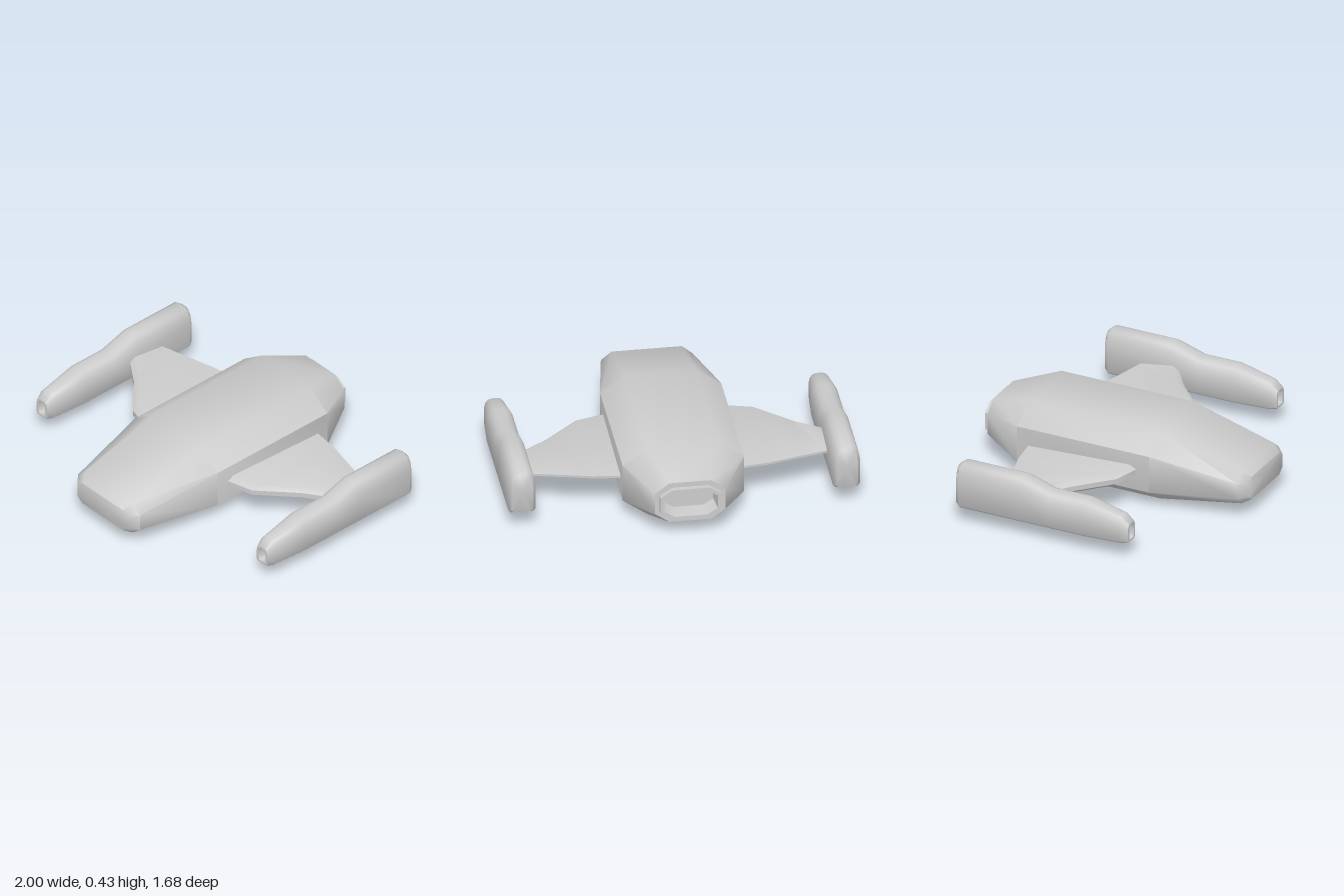
import * as THREE from 'three';
import { toCreasedNormals } from 'three/addons/utils/BufferGeometryUtils.js';

const material = new THREE.MeshStandardMaterial({ color: 0xcccccc });

// Skin between consecutive rings of [x, y, z] points, closing both ends with fans.
function loft(rings, crease) {
  const out = [];
  const n = rings[0].length;
  const tri = (a, b, c) => out.push(...a, ...b, ...c);
  for (let i = 0; i < rings.length - 1; i++) {
    for (let j = 0; j < n; j++) {
      const k = (j + 1) % n;
      const [a, b, c, d] = [rings[i][j], rings[i][k], rings[i + 1][j], rings[i + 1][k]];
      tri(a, c, b);
      tri(b, c, d);
    }
  }
  const centre = (r) => [0, 1, 2].map((q) => r.reduce((s, p) => s + p[q], 0) / n);
  const first = rings[0], last = rings[rings.length - 1];
  const c0 = centre(first), c1 = centre(last);
  for (let j = 0; j < n; j++) {
    const k = (j + 1) % n;
    tri(c0, first[j], first[k]);
    tri(c1, last[k], last[j]);
  }
  const g = new THREE.BufferGeometry();
  g.setAttribute('position', new THREE.Float32BufferAttribute(out, 3));
  return toCreasedNormals(g, crease);
}

// Eight-sided section: half width, half width of the flat top, bottom, top, side flat from/to.
const octagon = ([z, w, f, y0, y1, s0, s1]) => [
  [w, s0, z], [w, s1, z], [f, y1, z], [-f, y1, z],
  [-w, s1, z], [-w, s0, z], [-f, y0, z], [f, y0, z],
];

// Arched section: flat floor with small bevels, upright sides, rounded top.
function arch([z, w, y0, y1]) {
  const h = y1 - y0, b = Math.min(0.015, w * 0.25);
  const half = [[w - b, y0], [w, y0 + b], [w, y0 + h * 0.62], [w * 0.88, y0 + h * 0.83],
    [w * 0.62, y0 + h * 0.96], [w * 0.3, y1]];
  const other = half.map(([x, y]) => [-x, y]).reverse();
  return [...half, ...other].map(([x, y]) => [x, y, z]);
}

function add(parent, name, geometry) {
  const mesh = new THREE.Mesh(geometry, material);
  mesh.name = name;
  parent.add(mesh);
  return mesh;
}

export function createModel() {
  const model = new THREE.Group();
  model.name = 'spacecraft';

  // Hull, blunt at the nose and narrowing at the stern
  add(model, 'hull', loft([
    [0.84, 0.21, 0.17, 0.11, 0.25, 0.14, 0.22],
    [0.79, 0.26, 0.2, 0.085, 0.285, 0.135, 0.235],
    [0.28, 0.345, 0.205, 0, 0.425, 0.1, 0.325],
    [-0.55, 0.345, 0.205, 0, 0.425, 0.1, 0.325],
    [-0.81, 0.2, 0.12, 0.09, 0.34, 0.15, 0.28],
    // stern face, nozzle rim and its hollow
    [-0.81, 0.175, 0.105, 0.12, 0.31, 0.165, 0.265],
    [-0.84, 0.175, 0.105, 0.12, 0.31, 0.165, 0.265],
    [-0.84, 0.152, 0.09, 0.137, 0.293, 0.175, 0.255],
    [-0.74, 0.14, 0.085, 0.145, 0.285, 0.18, 0.25],
  ].map(octagon), 0.95));

  // Wing sections from root to tip: x, leading z, trailing z
  const wing = loft([
    [0.28, 0.21, -0.485], [0.345, 0.2, -0.48], [0.5, 0.157, -0.46],
    [0.7, -0.03, -0.41], [0.85, -0.135, -0.375], [0.9, -0.16, -0.365],
  ].map(([x, lead, trail]) => [
    [lead, -0.015], [lead, 0.015], [lead - 0.04, 0.037], [trail, 0.007],
    [trail, -0.007], [lead - 0.04, -0.037],
  ].map(([z, y]) => [x, y, z])), 0.8);

  // Engine pod: intake hollow, lip, then the stepped body
  const pod = loft([
    [0.4, 0.024, 0.125, 0.205],
    [0.465, 0.028, 0.12, 0.21],
    [0.465, 0.045, 0.108, 0.225],
    [0.42, 0.06, 0.1, 0.26],
    [0.2, 0.0775, 0.1, 0.31],
    [-0.03, 0.0775, 0.1, 0.31],
    [-0.2, 0.0775, 0.1, 0.365],
    [-0.585, 0.0775, 0.1, 0.365],
    [-0.61, 0.062, 0.115, 0.345],
  ].map(arch), 0.95);

  for (const side of [1, -1]) {
    const label = side > 0 ? 'left' : 'right';
    const w = add(model, `${label}Wing`, wing);
    w.position.y = 0.2125;
    // the section is symmetric, so half a turn mirrors the wing
    w.rotation.z = side > 0 ? 0 : Math.PI;
    add(model, `${label}EnginePod`, pod).position.x = side * 0.9225;
  }
  return model;
}
